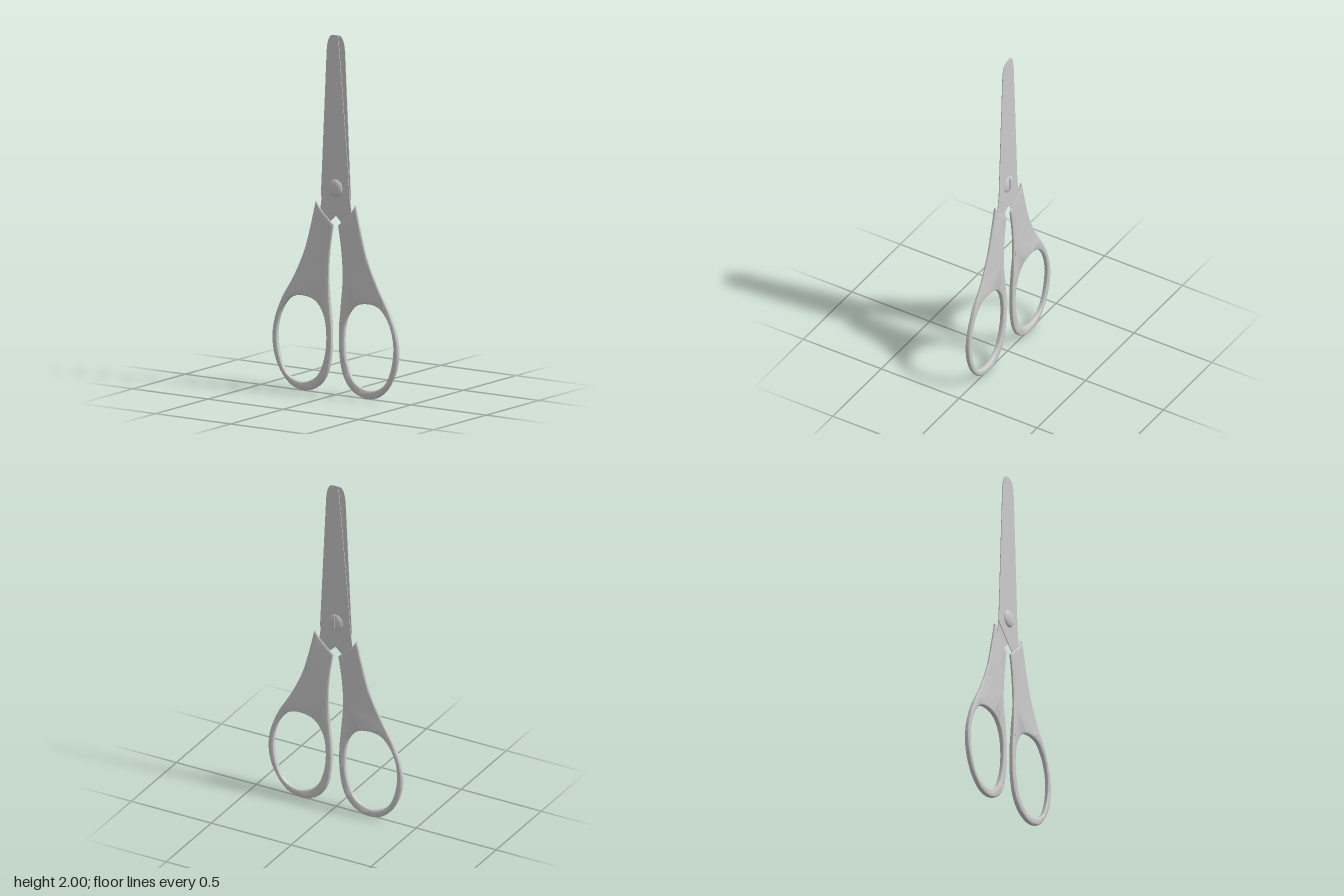
import * as THREE from 'three';
import { toCreasedNormals } from 'three/addons/utils/BufferGeometryUtils.js';
import { ParametricGeometry } from 'three/addons/geometries/ParametricGeometry.js';

const material = new THREE.MeshStandardMaterial({ color: 0xcccccc });
const LAYER = 0.002; // distance of each half from the plane where the blades meet
const toPoints = (list) => list.map(([x, y]) => new THREE.Vector2(x, y));

function makeMesh(name, geometry) {
  const mesh = new THREE.Mesh(geometry, material);
  mesh.name = name;
  return mesh;
}

// Flat steel blade with rounded tip, pivot area and a tang hidden in the grip
function bladeGeometry() {
  const shape = new THREE.Shape();
  shape.moveTo(0.016, 2);
  shape.lineTo(-0.015, 2);
  shape.bezierCurveTo(-0.045, 2, -0.056, 1.965, -0.06, 1.9);
  for (const [x, y] of [
    [-0.098, 1.1], [0, 1], [0.036, 0.965], [0.06, 0.91], [0.12, 0.93],
    [0.105, 1.02], [0.09, 1.13], [0.083, 1.25],
  ]) shape.lineTo(x, y);
  const geometry = new THREE.ExtrudeGeometry(shape, { depth: 0.0038, bevelEnabled: false, curveSegments: 12 });
  geometry.translate(0, 0, 0.0001);
  return toCreasedNormals(geometry, 0.5);
}

// Grip and finger ring in one rounded piece, thinner above the ring
function handleGeometry() {
  const shape = new THREE.Shape();
  shape.moveTo(0.017, 0.945);
  shape.splineThru(toPoints([
    [0.038, 0.81], [0.047, 0.66], [0.036, 0.5], [0.025, 0.38], [0.027, 0.24],
    [0.052, 0.12], [0.11, 0.04], [0.2, 0.004], [0.29, 0.022], [0.36, 0.088],
    [0.405, 0.18], [0.42, 0.28], [0.405, 0.385], [0.357, 0.505], [0.282, 0.63],
    [0.215, 0.77], [0.175, 0.9], [0.133, 1.07],
  ]));
  shape.lineTo(0.1, 1.02);

  const rim = new THREE.CatmullRomCurve3([
    [0.22, 0.53], [0.29, 0.515], [0.35, 0.445], [0.385, 0.33], [0.372, 0.19],
    [0.325, 0.092], [0.25, 0.053], [0.185, 0.058], [0.12, 0.1], [0.077, 0.195],
    [0.062, 0.32], [0.08, 0.435], [0.135, 0.51],
  ].map(([x, y]) => new THREE.Vector3(x, y, 0)), true);
  const hole = new THREE.Path();
  hole.setFromPoints(rim.getPoints(64).slice(0, -1).map((p) => new THREE.Vector2(p.x, p.y)));
  shape.holes.push(hole);

  const geometry = new THREE.ExtrudeGeometry(shape, {
    depth: 0.005, bevelThickness: 0.011, bevelSize: 0.011, bevelOffset: -0.011,
    bevelSegments: 4, curveSegments: 5,
  });
  geometry.translate(0, 0, -0.0025);
  const position = geometry.attributes.position;
  for (let i = 0; i < position.count; i++) {
    const thin = THREE.MathUtils.smoothstep(position.getY(i), 0.5, 0.64);
    position.setZ(i, position.getZ(i) * (1 - 0.4 * thin) + LAYER);
  }
  return toCreasedNormals(geometry, 0.7);
}

// Domed rivet head made of columns across x; the slot columns drop to a flat floor
function rivetGeometry(height, slotted) {
  const columns = [];
  const steps = 10;
  const edge = 0.14;
  for (let i = 0; i <= steps; i++) {
    columns.push([-Math.cos((i / steps) * Math.acos(edge)), false]);
  }
  const left = columns.map(([x]) => x).sort((a, b) => a - b);
  const profile = left.map((x) => [x, false]);
  profile.push([-edge, slotted], [edge, slotted]);
  for (const x of [...left].reverse()) profile.push([-x, false]);

  const last = profile.length - 1;
  const geometry = new ParametricGeometry((u, v, target) => {
    const [x, inSlot] = profile[THREE.MathUtils.clamp(Math.round(u * last), 0, last)];
    const y = -Math.cos(v * Math.PI) * Math.sqrt(Math.max(0, 1 - x * x));
    const dome = height * Math.pow(Math.max(0, 1 - x * x - y * y), 0.6);
    target.set(x * 0.045, y * 0.05, inSlot ? Math.min(dome, height * 0.35) : dome);
  }, last, 24);
  return toCreasedNormals(geometry, 0.7);
}

export function createModel() {
  const model = new THREE.Group();
  model.name = 'scissors';
  const blade = bladeGeometry();
  const handle = handleGeometry();

  // The second half is the first one turned about the upright axis
  for (const [name, turn] of [['frontHalf', 0], ['backHalf', Math.PI]]) {
    const half = new THREE.Group();
    half.name = name;
    half.rotation.y = turn;
    half.add(makeMesh('blade', blade), makeMesh('handle', handle));
    model.add(half);
  }

  // Pivot rivet: plain dome in front, slotted screw head behind
  const rivet = new THREE.Group();
  rivet.name = 'rivet';
  rivet.position.y = 1.15;
  const front = makeMesh('rivetDome', rivetGeometry(0.0145, false));
  front.position.z = 0.003;
  const back = makeMesh('slottedHead', rivetGeometry(0.0105, true));
  back.position.z = -0.003;
  back.rotation.y = Math.PI;
  rivet.add(front, back);
  model.add(rivet);

  // Shift so the whole depth is centred
  for (const part of model.children) part.position.z -= 0.0025;
  return model;
}
